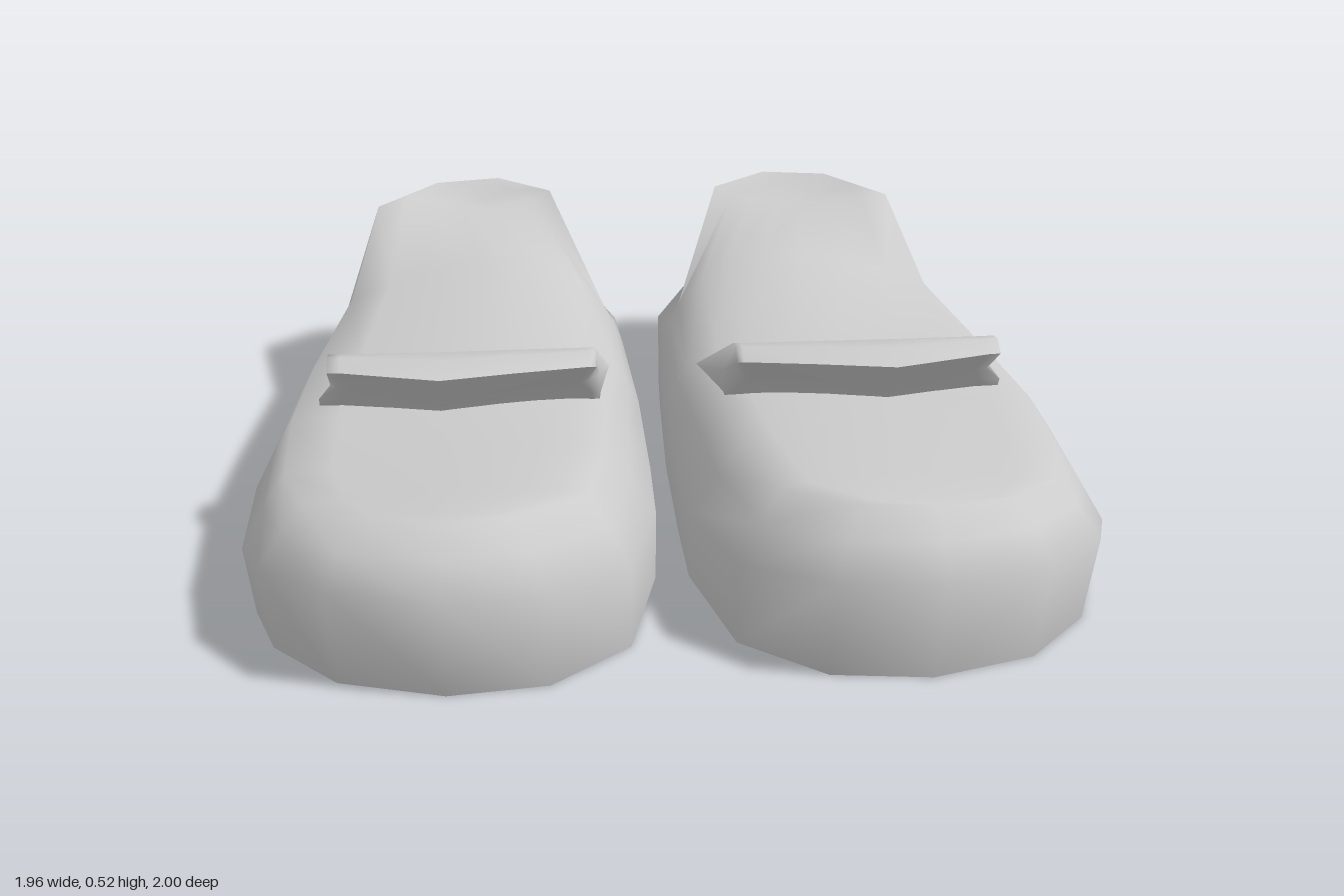
import * as THREE from 'three';
import { mergeGeometries, toCreasedNormals } from 'three/addons/utils/BufferGeometryUtils.js';

const lerp = (a, b, t) => a.map((v, i) => v + (b[i] - v) * t);

// Skin a grid of [x, y, z] rows; side = -1 mirrors it across x = 0.
function skin(rows, side, closed = false) {
  const n = rows[0].length, pos = [], idx = [];
  rows.flat().forEach(([x, y, z]) => pos.push(x * side, y, z));
  const dist = (a, b) => Math.hypot(...[0, 1, 2].map(k => pos[a * 3 + k] - pos[b * 3 + k]));
  const tri = (a, b, c) => {
    if (Math.min(dist(a, b), dist(b, c), dist(c, a)) < 1e-5) return;
    idx.push(...(side > 0 ? [a, b, c] : [a, c, b]));
  };
  for (let r = 0; r < rows.length - 1; r++) {
    for (let c = 0; c < (closed ? n : n - 1); c++) {
      const d = (c + 1) % n, a = r * n, b = a + n;
      tri(a + c, a + d, b + d);
      tri(a + c, b + d, b + c);
    }
  }
  const g = new THREE.BufferGeometry();
  g.setAttribute('position', new THREE.Float32BufferAttribute(pos, 3));
  g.setIndex(idx);
  return g;
}

// Widest outline: toe tip, outer side to the heel, then inner side back to the toe.
const girth = [
  [.54, .25, 1], [.78, .25, .92], [.93, .22, .74], [.98, .18, .56], [.97, .18, .24], [.90, .18, -.2],
  [.82, .18, -.63], [.70, .18, -.82], [.54, .18, -.92],
  [.30, .18, -.93], [.06, .18, -.79], [.05, .18, -.6], [.035, .18, -.2], [.035, .18, .2],
  [.04, .18, .45], [.12, .22, .8], [.31, .25, .97],
];
// Upper edge: round the toe cap, low along the sides, rising to the flared heel.
const rim = [
  [.54, .38, .87], [.72, .365, .81], [.83, .345, .68], [.88, .335, .5], [.88, .335, .2], [.85, .305, -.2],
  [.77, .32, -.62], [.70, .49, -.88], [.54, .52, -.985],
  [.37, .525, -1], [.23, .505, -.94], [.10, .29, -.6], [.09, .275, -.2], [.14, .335, .2],
  [.16, .355, .45], [.21, .37, .74], [.37, .385, .86],
];
// Pinch above the heel.
const pinch = { 6: [.795, .26, -.62], 7: [.69, .33, -.78], 8: [.54, .34, -.875],
  9: [.37, .34, -.885], 10: [.20, .34, -.82], 11: [.075, .245, -.6] };
// Height of the top surface above or below the line across the rim, toe to heel.
const crown = [0, .01, .025, .025, .02, .06, .128, -.035, 0];

const pair = (ring, i) => [ring[(17 - i) % 17], ring[i]]; // inner and outer point
const bow = t => Math.sin(Math.PI * t ** .7);             // fullest towards the inner side

function upper(side) {
  const sole = girth.map(([x, , z]) => [.49 + (x - .5) * .98, 0, z * (z > 0 ? .94 : .957)]);
  const shoulder = girth.map((p, i) => {
    if (pinch[i]) return pinch[i];
    const q = lerp(p, rim[i], .5);
    return [q[0], q[1] + .008, q[2]];
  });
  const walls = skin([sole, girth, shoulder, rim], side, true);

  // Toe cap top and domed instep running back to the heel
  const ts = [0, .1, .2, .35, .5, .7, .85, 1];
  const rows = crown.map((h, i) => {
    const [a, b] = pair(rim, i);
    return ts.map(t => {
      const [x, y, z] = lerp(a, b, t);
      return [x, y + h * bow(t), z];
    });
  });
  // Steep inner lip at the heel
  const [a, b] = [lerp(rim[10], rim[9], .5), lerp(rim[7], rim[8], .5)];
  rows.splice(8, 0, ts.map(t => {
    const [x, y, z] = lerp(a, b, t), s = Math.sin(Math.PI * t);
    return [x, y - .04 * s, z + .015 * s];
  }));
  const geometry = toCreasedNormals(mergeGeometries([walls, skin(rows, side)]), 1.6);
  return { geometry, sole };
}

// Flap over the instep: side profile swept across the foot.
function tongue(side) {
  const stations = [ // x at tip, foot and back; tip z, tip y, crest z, back z, back y
    [.165, .15, .11, .27, .475, .17, -.19, .285], [.18, .17, .15, .275, .478, .18, -.17, .315],
    [.35, .35, .33, .31, .482, .19, -.12, .34], [.53, .53, .52, .35, .485, .2, -.1, .34],
    [.76, .77, .73, .27, .478, .18, -.02, .335], [.79, .82, .77, .26, .475, .17, .04, .335],
  ];
  const rows = stations.map(([x, xf, xb, z, y, zc, zb, yb]) => [
    [xf, .31, z - .16],
    [xf, .355, z - .13],
    [x + (.5 - x) * .06, .41, z - .07],
    [x, y, z],
    [x, y + .02, (z + zc) / 2],
    [x, y + .01, zc],
    [xb, yb, zb],
    [xb, yb - .03, zb],
  ]).reverse();
  // Collapse both ends to close the sides
  const cap = row => row.map(() =>
    row.reduce((s, p) => s.map((v, k) => v + p[k] / row.length), [0, 0, 0]));
  return toCreasedNormals(skin([cap(rows[0]), ...rows, cap(rows.at(-1))], side, true), 1.8);
}

function slipper(side) {
  const g = new THREE.Group();
  const mat = new THREE.MeshStandardMaterial({ color: 0xcccccc, side: THREE.DoubleSide });
  const add = (name, geo) => {
    const m = new THREE.Mesh(geo, mat);
    m.name = name;
    g.add(m);
  };
  const { geometry, sole } = upper(side);
  add('upper', geometry);
  // Flat outsole
  const soleGeo = skin(crown.map((_, i) => pair(sole, i).reverse()), side);
  soleGeo.computeVertexNormals();
  add('outsole', soleGeo);
  add('tongue', tongue(side));
  return g;
}

export function createModel() {
  const model = new THREE.Group();
  model.name = 'slippers';
  for (const [name, side] of [['leftSlipper', 1], ['rightSlipper', -1]]) {
    const s = slipper(side);
    s.name = name;
    model.add(s);
  }
  return model;
}
